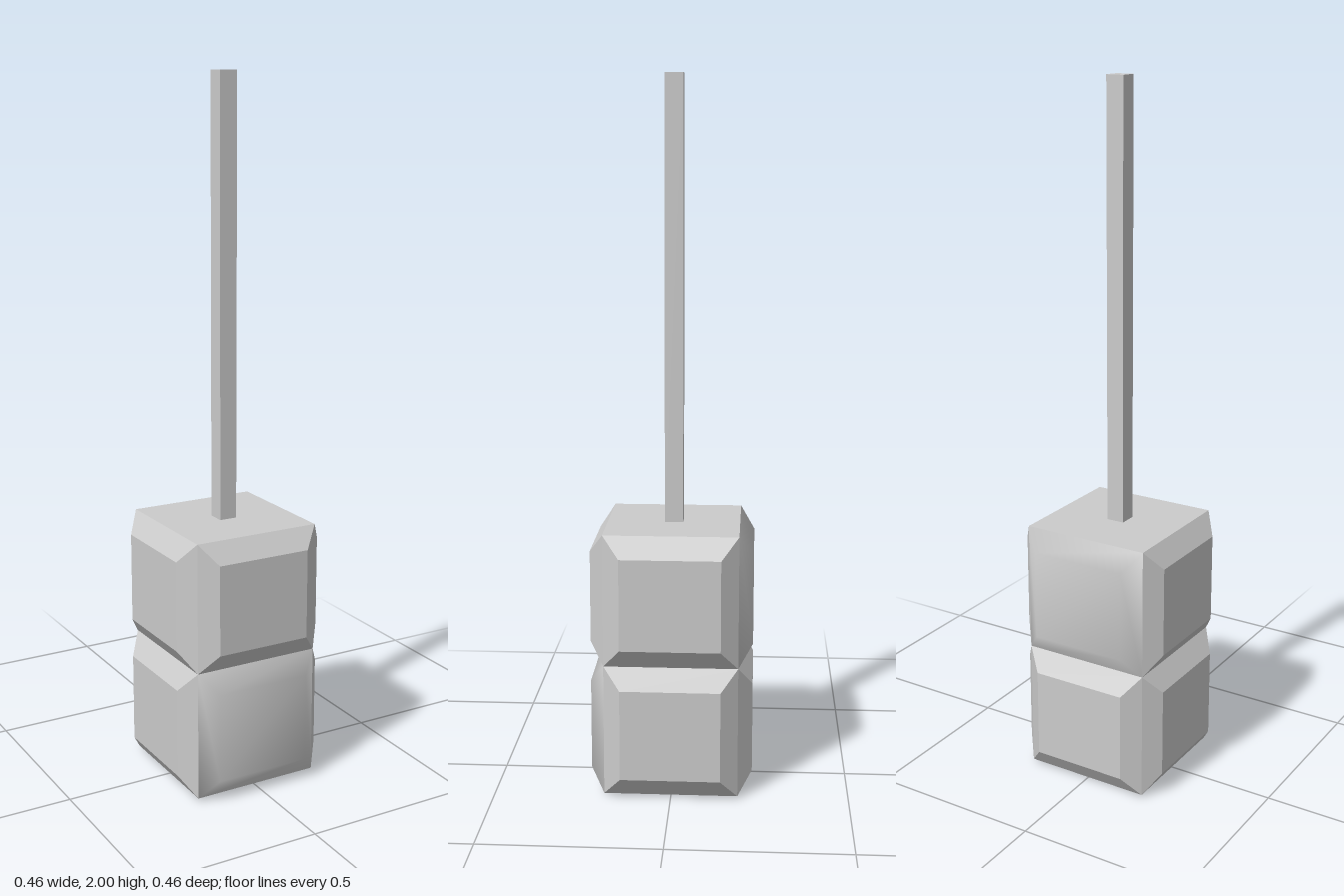
import * as THREE from 'three';

const HALF = 0.188;   // half size of each cube
const BASE = 0.008;   // underside of the lower block
const HOLE = 0.146;   // socket radius

const grey = (extra = {}) => new THREE.MeshStandardMaterial({ color: 0xcccccc, ...extra });

function add(parent, name, geometry, material) {
  const mesh = new THREE.Mesh(geometry, material);
  mesh.name = name;
  parent.add(mesh);
  return mesh;
}

// Raised panel with four sloping borders, facing +z
function panelGeometry() {
  const ring = (w, h, z) => [-w, -h, z, w, -h, z, w, h, z, -w, h, z];
  const g = new THREE.BufferGeometry();
  g.setAttribute('position', new THREE.Float32BufferAttribute(
    [...ring(HALF, HALF, HALF), ...ring(0.14, 0.13, 0.228)], 3));
  const index = [4, 5, 6, 4, 6, 7];
  for (let i = 0; i < 4; i++) {
    const j = (i + 1) % 4;
    index.push(i, j, j + 4, i, j + 4, i + 4);
  }
  g.setIndex(index);
  g.computeVertexNormals();
  return g;
}

// Four panels around a block; one of them is softly shaded
function block(name, y, smoothSide) {
  const group = new THREE.Group();
  group.name = name;
  group.position.y = y;
  const geometry = panelGeometry();
  ['front', 'left', 'back', 'right'].forEach((side, i) => {
    const panel = add(group, side + 'Panel', geometry, grey({ flatShading: side !== smoothSide }));
    panel.rotation.y = i * Math.PI / 2;
  });
  return group;
}

export function createModel() {
  const model = new THREE.Group();
  model.name = 'beadedPull';

  const lower = block('lowerBlock', BASE + HALF, 'front');
  const upper = block('upperBlock', BASE + HALF * 3, 'back');
  model.add(lower, upper);

  // Flat top of the upper block
  const top = add(upper, 'topFace', new THREE.PlaneGeometry(HALF * 2, HALF * 2), grey());
  top.rotation.x = -Math.PI / 2;
  top.position.y = HALF;

  // Underside with a round opening
  const square = new THREE.Shape([[-1, -1], [1, -1], [1, 1], [-1, 1]]
    .map(([x, y]) => new THREE.Vector2(x * HALF, y * HALF)));
  square.holes.push(new THREE.Path().absarc(0, 0, HOLE, 0, Math.PI * 2, true));
  const bottom = add(lower, 'underside', new THREE.ShapeGeometry(square, 24), grey());
  bottom.rotation.x = Math.PI / 2;
  bottom.position.y = -HALF;

  // Round socket with a slight lip and a closed end
  const depth = 0.16;
  const wall = add(model, 'socketWall',
    new THREE.CylinderGeometry(HOLE, HOLE, depth, 48, 1, true), grey({ side: THREE.DoubleSide }));
  wall.position.y = depth / 2;
  const roof = add(model, 'socketEnd', new THREE.CircleGeometry(HOLE, 48), grey());
  roof.rotation.x = Math.PI / 2;
  roof.position.y = depth;

  // Square rod
  const rodBase = BASE + HALF * 4;
  const rod = add(model, 'rod', new THREE.BoxGeometry(0.052, 2 - rodBase, 0.052), grey());
  rod.position.y = (2 + rodBase) / 2;

  return model;
}
